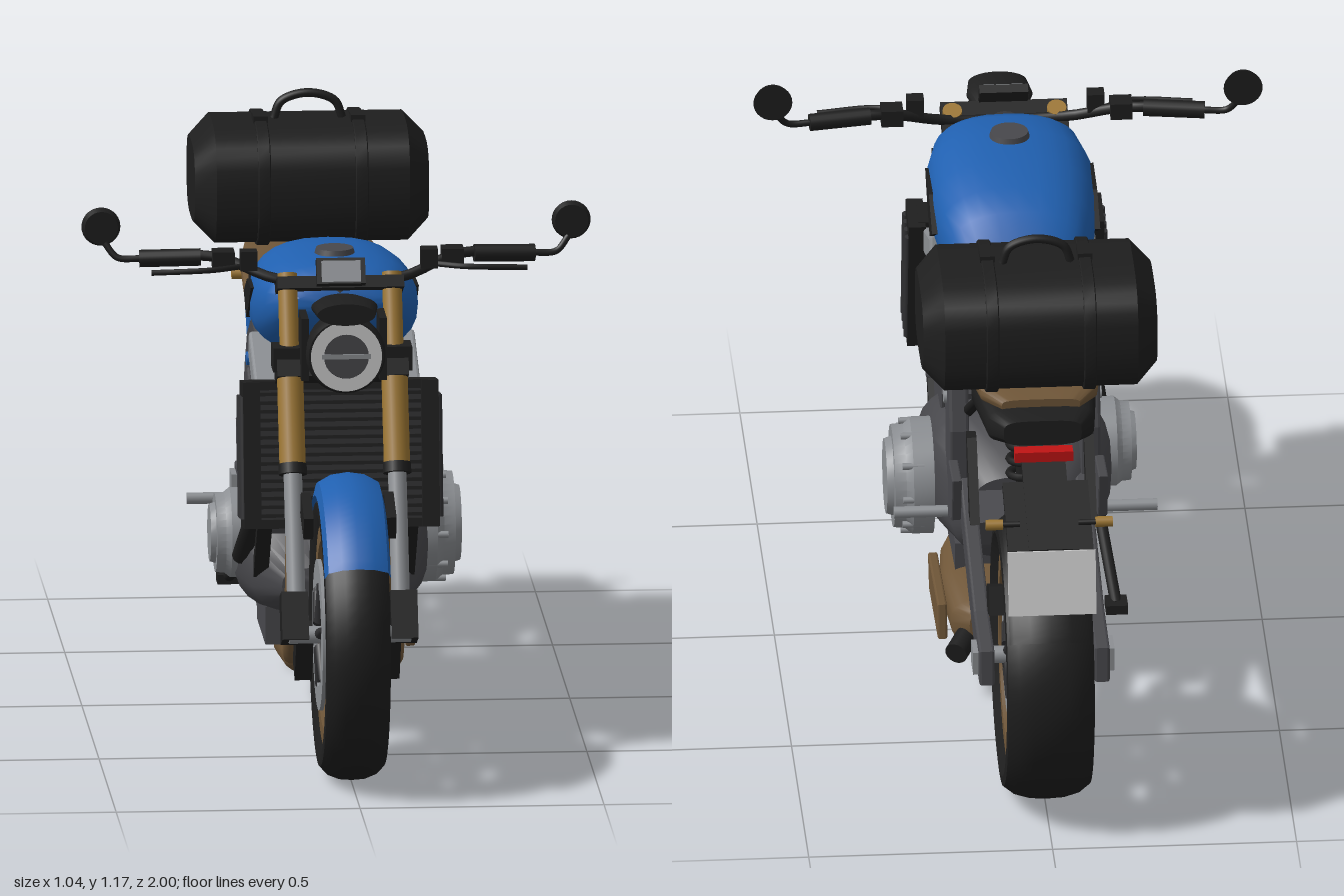
import * as THREE from 'three';
import { toCreasedNormals } from 'three/addons/utils/BufferGeometryUtils.js';

const mat = (name, color) => Object.assign(new THREE.MeshStandardMaterial({ color }), { name });
const black = mat('black', 0x1e1e1e), blue = mat('blue', 0x2060b0), brown = mat('bronze brown', 0x6f5638),
  gold = mat('gold', 0x9c7633), dark = mat('dark grey', 0x48484c), grey = mat('light grey', 0x8c8f93),
  white = mat('pale grey', 0xcfcfcf), red = mat('red', 0xc01414), iron = mat('iron grey', 0x303032);
const V = (p) => new THREE.Vector3(...p);
const SIDES = [-1, 1];

export function createModel() {
  const root = new THREE.Group();
  root.name = 'motorcycle';

  function add(name, geo, m, pos = [0, 0, 0], rot = [0, 0, 0], parent = root) {
    const mesh = new THREE.Mesh(geo, m);
    mesh.name = name;
    mesh.position.set(...pos);
    mesh.rotation.set(...rot);
    parent.add(mesh);
    return mesh;
  }
  const box = (name, size, m, pos, rot, parent) => add(name, new THREE.BoxGeometry(...size), m, pos, rot, parent);
  // straight round bar between two points
  function bar(name, a, b, r, m, r2 = r, parent = root) {
    const p = V(a), q = V(b), d = q.clone().sub(p);
    const mesh = add(name, new THREE.CylinderGeometry(r2, r, d.length(), 16), m, p.clone().add(q).multiplyScalar(0.5).toArray(), [0, 0, 0], parent);
    mesh.quaternion.setFromUnitVectors(new THREE.Vector3(0, 1, 0), d.normalize());
    return mesh;
  }
  const pipe = (name, pts, r, m) =>
    add(name, new THREE.TubeGeometry(new THREE.CatmullRomCurve3(pts.map(V)), 28, r, 10), m);
  // outline in (z, y), given thickness w about x
  function slab(name, pts, x, w, m, bevel = 0) {
    const geo = new THREE.ExtrudeGeometry(new THREE.Shape(pts.map((p) => new THREE.Vector2(...p))),
      { depth: w - 2 * bevel, bevelEnabled: bevel > 0, bevelSize: bevel, bevelThickness: bevel, bevelSegments: 2 });
    geo.translate(0, 0, bevel - w / 2).rotateY(-Math.PI / 2);
    return add(name, geo, m, [x, 0, 0]);
  }
  // profile in (radius, x) revolved about the x axis
  const spin = (pts, seg = 48, start = 0, len = Math.PI * 2) => toCreasedNormals(
    new THREE.LatheGeometry(pts.map((p) => new THREE.Vector2(...p)), seg, start, len).rotateZ(Math.PI / 2), 0.6);
  const ring = (r0, r1, w, seg = 48) => spin([[r0, -w], [r1, -w], [r1, w], [r0, w], [r0, -w]], seg);
  // superellipse cross-sections [z, bottom, top, halfWidth]
  function loft(sections, n = 2.6, seg = 28) {
    const pos = [], idx = [], pw = (v) => Math.sign(v) * Math.abs(v) ** (2 / n);
    sections.forEach(([z, b, t, w]) => {
      for (let j = 0; j < seg; j++) {
        const a = (j / seg) * Math.PI * 2;
        pos.push(w * pw(Math.cos(a)), (b + t) / 2 + ((t - b) / 2) * pw(Math.sin(a)), z);
      }
    });
    const last = sections.length - 1, c = sections.length * seg;
    for (const s of [sections[0], sections[last]]) pos.push(0, (s[1] + s[2]) / 2, s[0]);
    for (let j = 0; j < seg; j++) {
      const k = (j + 1) % seg;
      for (let i = 0; i < last; i++) {
        const a = i * seg, b = a + seg;
        idx.push(a + j, a + k, b + j, a + k, b + k, b + j);
      }
      idx.push(c, k, j, c + 1, last * seg + j, last * seg + k);
    }
    const geo = new THREE.BufferGeometry();
    geo.setAttribute('position', new THREE.Float32BufferAttribute(pos, 3));
    geo.setIndex(idx);
    return toCreasedNormals(geo, 0.7);
  }

  // wheels
  function wheel(name, z, w, discR, discX) {
    const g = new THREE.Group();
    g.name = name;
    g.position.set(0, 0.3, z);
    root.add(g);
    const half = [[0.225, 0.8], [0.25, 0.98], [0.27, 0.96], [0.287, 0.72], [0.296, 0.38], [0.298, 0]];
    const prof = [...half.map(([r, k]) => [r, -k * w]), ...half.slice(0, -1).reverse().map(([r, k]) => [r, k * w]), [0.225, -0.8 * w]];
    add('tyre', spin(prof, 64), black, [0, 0, 0], [0, 0, 0], g);
    add('rim', ring(0.192, 0.23, w * 0.82, 64), brown, [0, 0, 0], [0, 0, 0], g);
    add('hub', ring(0.01, 0.045, 0.055, 24), iron, [0, 0, 0], [0, 0, 0], g);
    for (let i = 0; i < 12; i++) {
      const a = (Math.floor(i / 2) / 6) * Math.PI * 2, o = i % 2 ? 0.09 : -0.09;
      const p = (r, t) => [0, r * Math.sin(t), r * Math.cos(t)];
      bar('spoke', p(0.035, a + o), p(0.2, a + o * 1.7), 0.015, brown, 0.011, g);
    }
    for (const x of discX) {
      add('brakeDisc', ring(discR * 0.68, discR, 0.004), grey, [x, 0, 0], [0, 0, 0], g);
      for (let i = 0; i < 6; i++) {
        const a = (i / 6) * Math.PI * 2 + 0.3;
        bar('discCarrier', [x, 0.03 * Math.sin(a), 0.03 * Math.cos(a)],
          [x, discR * 0.74 * Math.sin(a), discR * 0.74 * Math.cos(a)], 0.012, iron, 0.007, g);
      }
    }
    bar('axle', [-0.125, 0, 0], [0.125, 0, 0], 0.018, grey, 0.018, g);
  }
  wheel('frontWheel', 0.7, 0.068, 0.155, [-0.062, 0.062]);
  wheel('rearWheel', -0.7, 0.092, 0.125, [-0.07, 0.07]);

  // mudguards
  const guard = (w) => [[0.285, -w], [0.312, -w * 0.9], [0.327, -w * 0.5], [0.332, 0], [0.327, w * 0.5], [0.312, w * 0.9], [0.285, w],
    [0.285, w - 0.008], [0.306, w * 0.8], [0.32, 0], [0.306, -w * 0.8], [0.285, 0.008 - w], [0.285, -w]];
  add('frontMudguard', spin(guard(0.068), 30, 0.63, 1.83), blue, [0, 0.3, 0.7]);
  add('rearMudguard', spin(guard(0.085).map(([r, x]) => [Math.max(r - 0.005, 0.3), x]), 20, 1.66, 0.95), black, [0, 0.3, -0.7]);

  // front fork, calipers and steering
  const forkZ = (y) => 0.555 - (y - 0.617) * 0.42;
  for (const s of SIDES) {
    const x = 0.107 * s, at = (y) => [x, y, forkZ(y)];
    bar('forkLower', at(0.29), at(0.64), 0.019, grey);
    bar('forkSleeve', at(0.62), at(0.81), 0.027, gold);
    bar('forkTop', at(0.8), at(0.99), 0.02, gold);
    bar('forkSeal', at(0.605), at(0.625), 0.029, black);
    box('forkFoot', [0.055, 0.1, 0.06], black, [0.112 * s, 0.33, 0.675], [-0.4, 0, 0]);
    box('frontCaliper', [0.035, 0.11, 0.06], black, [0.09 * s, 0.25, 0.62], [0.5, 0, 0]);
    box('mudguardStay', [0.02, 0.05, 0.1], black, [0.085 * s, 0.54, 0.66], [0.35, 0, 0]);
    box('lampBracket', [0.015, 0.13, 0.09], black, [0.08 * s, 0.86, 0.49]);
    box('forkGuard', [0.055, 0.05, 0.06], black, [0.115 * s, 0.83, 0.465]);
  }
  box('lowerYoke', [0.27, 0.035, 0.08], black, [0, 0.8, 0.465], [-0.4, 0, 0]);
  box('upperYoke', [0.26, 0.025, 0.08], black, [0, 0.965, 0.4], [-0.4, 0, 0]);
  bar('steeringStem', [0, 0.78, 0.44], [0, 0.97, 0.37], 0.035, iron);

  // headlamp and display
  add('headlampShell', loft([[0.48, 0.82, 0.9, 0.04], [0.51, 0.785, 0.935, 0.075], [0.58, 0.778, 0.942, 0.082], [0.6, 0.785, 0.935, 0.077]], 2), black);
  add('headlampRing', new THREE.RingGeometry(0.046, 0.073, 40), white, [0, 0.86, 0.603]);
  add('headlampLens', new THREE.CircleGeometry(0.046, 32), dark, [0, 0.86, 0.602]);
  box('headlampBar', [0.1, 0.01, 0.004], grey, [0, 0.86, 0.603]);
  add('headlampVisor', loft([[0.48, 0.93, 0.965, 0.05], [0.54, 0.925, 0.975, 0.068], [0.605, 0.925, 0.97, 0.06]], 2), black);
  box('displayHousing', [0.1, 0.055, 0.02], black, [0, 1.0, 0.435], [-0.5, 0, 0]);
  box('displayPlate', [0.08, 0.045, 0.006], grey, [0, 1.004, 0.448], [-0.5, 0, 0]);

  // handlebar, controls and mirrors
  pipe('handlebar', [[-0.4, 1.01, 0.325], [-0.25, 1.015, 0.34], [-0.12, 0.975, 0.385], [0.12, 0.975, 0.385], [0.25, 1.015, 0.34], [0.4, 1.01, 0.325]], 0.011, black);
  for (const s of SIDES) {
    bar('grip', [0.28 * s, 1.014, 0.337], [0.405 * s, 1.01, 0.325], 0.018, black);
    box('switchBlock', [0.045, 0.035, 0.045], black, [0.235 * s, 1.012, 0.345]);
    box('reservoir', [0.035, 0.04, 0.035], black, [0.185 * s, 1.015, 0.375]);
    pipe('lever', [[0.2 * s, 1.0, 0.37], [0.26 * s, 1.0, 0.4], [0.385 * s, 0.995, 0.395]], 0.006, black);
    pipe('mirrorStem', [[0.4 * s, 1.01, 0.325], [0.45 * s, 1.012, 0.32], [0.475 * s, 1.04, 0.31]], 0.007, black);
    add('mirror', new THREE.CylinderGeometry(0.04, 0.034, 0.016, 28), black, [0.482 * s, 1.072, 0.305], [-Math.PI / 2, 0, 0]);
  }

  // fuel tank
  add('fuelTank', loft([[-0.095, 0.79, 0.87, 0.1], [-0.07, 0.775, 0.925, 0.125], [-0.02, 0.765, 0.965, 0.145], [0.05, 0.76, 0.988, 0.16],
    [0.15, 0.765, 1.0, 0.17], [0.27, 0.79, 1.003, 0.17], [0.35, 0.83, 0.998, 0.15], [0.395, 0.87, 0.98, 0.125], [0.415, 0.9, 0.95, 0.1]], 2.5), blue);
  add('tankCap', new THREE.CylinderGeometry(0.038, 0.042, 0.014, 32), dark, [0, 1.005, 0.255]);
  for (const s of SIDES) {
    slab('tankInlay', [[0.26, 0.93], [0.15, 0.925], [0.06, 0.88], [0.13, 0.84], [0.2, 0.88]], 0.155 * s, 0.035, black);
    slab('kneeInlay', [[0.07, 0.86], [-0.05, 0.9], [-0.05, 0.84], [0, 0.82]], 0.137 * s, 0.036, black);
    slab('sidePanel', [[0.03, 0.82], [-0.26, 0.825], [-0.31, 0.775], [-0.25, 0.72], [-0.21, 0.735], [-0.17, 0.77], [0.02, 0.765]], 0.132 * s, 0.025, blue, 0.004);
    slab('sidePanelInset', [[-0.06, 0.81], [-0.2, 0.808], [-0.24, 0.775], [-0.18, 0.785]], 0.146 * s, 0.006, black);
  }

  // seat and tail
  add('seat', loft([[-0.66, 0.835, 0.862, 0.08], [-0.6, 0.825, 0.868, 0.12], [-0.4, 0.805, 0.862, 0.148], [-0.25, 0.79, 0.842, 0.152],
    [-0.13, 0.785, 0.842, 0.142], [-0.07, 0.785, 0.86, 0.12]], 4), brown);
  add('tail', loft([[-0.715, 0.785, 0.84, 0.08], [-0.66, 0.765, 0.845, 0.11], [-0.45, 0.735, 0.825, 0.128], [-0.25, 0.715, 0.8, 0.12], [-0.05, 0.76, 0.81, 0.1]], 4), black);
  box('tailLight', [0.12, 0.022, 0.03], red, [0, 0.775, -0.735]);
  box('plateArm', [0.09, 0.02, 0.3], black, [0, 0.715, -0.81], [-0.4, 0, 0]);
  box('plateHolder', [0.175, 0.015, 0.2], black, [0, 0.69, -0.87], [-0.4, 0, 0]);
  box('plateBack', [0.175, 0.13, 0.006], black, [0, 0.605, -0.976], [0.22, 0, 0]);
  box('plate', [0.18, 0.135, 0.006], white, [0, 0.605, -0.983], [0.22, 0, 0]);
  for (const s of SIDES) {
    bar('indicatorStem', [0.06 * s, 0.7, -0.9], [0.1 * s, 0.7, -0.9], 0.006, black);
    bar('indicator', [0.095 * s, 0.7, -0.9], [0.13 * s, 0.7, -0.9], 0.011, gold);
  }

  // luggage roll along x
  const roll = (x0, x1, cap, d) => loft([[x0, 0.865 + cap - d, 1.11 - cap + d, 0.165 - cap + d], [x0 + cap, 0.865 - d, 1.11 + d, 0.165 + d],
    [x1 - cap, 0.865 - d, 1.11 + d, 0.165 + d], [x1, 0.865 + cap - d, 1.11 - cap + d, 0.165 - cap + d]], 3.2).rotateY(Math.PI / 2);
  add('luggageRoll', roll(-0.24, 0.24, 0.042, 0), black, [0, 0, -0.523]);
  for (const s of SIDES) {
    add('luggageStrap', roll(0.1 * s - 0.013, 0.1 * s + 0.013, 0.002, 0.006), black, [0, 0, -0.523]);
    box('strapBuckle', [0.03, 0.014, 0.05], black, [0.1 * s, 1.117, -0.5]);
  }
  pipe('luggageHandle', [[-0.07, 1.11, -0.525], [-0.055, 1.145, -0.525], [0, 1.162, -0.525], [0.055, 1.145, -0.525], [0.07, 1.11, -0.525]], 0.009, black);

  // radiator
  const rad = new THREE.Group();
  rad.name = 'radiator';
  rad.position.set(0, 0.615, 0.41);
  rad.rotation.x = -0.16;
  root.add(rad);
  box('radiatorCore', [0.36, 0.27, 0.05], iron, [0, 0, 0], [0, 0, 0], rad);
  for (let i = 0; i < 15; i++) box('radiatorFin', [0.35, 0.007, 0.012], black, [0, -0.125 + i * 0.0178, 0.027], [0, 0, 0], rad);
  for (const s of SIDES) {
    box('radiatorTank', [0.035, 0.3, 0.1], black, [0.183 * s, 0, 0], [0, 0, 0], rad);
    for (let i = 0; i < 4; i++) bar('radiatorRib', [0.2 * s, -0.13, -0.04 + i * 0.027], [0.2 * s, 0.12, -0.04 + i * 0.027], 0.008, iron, 0.008, rad);
    box('radiatorEdge', [0.36, 0.018, 0.07], black, [0, 0.142 * s, 0], [0, 0, 0], rad);
  }

  // engine
  slab('cylinderBlock', [[0.34, 0.73], [0.18, 0.79], [0.05, 0.52], [0.08, 0.44], [0.24, 0.42]], 0, 0.31, dark, 0.008);
  slab('cylinderHead', [[0.35, 0.74], [0.17, 0.81], [0.155, 0.77], [0.335, 0.7]], 0, 0.34, grey, 0.006);
  for (const s of SIDES) slab('blockCover', [[0.31, 0.69], [0.18, 0.74], [0.09, 0.54], [0.21, 0.48]], 0.165 * s, 0.02, dark, 0.005);
  add('crankcase', loft([[-0.22, 0.3, 0.46, 0.11], [-0.17, 0.25, 0.5, 0.15], [-0.02, 0.22, 0.52, 0.19], [0.14, 0.22, 0.5, 0.2],
    [0.23, 0.24, 0.42, 0.17], [0.29, 0.27, 0.35, 0.11]], 3), dark);
  box('sump', [0.27, 0.08, 0.24], dark, [0, 0.2, 0.04]);
  const cover = (r, d) => spin([[0, 0], [r, 0], [r, d * 0.45], [r * 0.9, d * 0.6], [r * 0.88, d * 0.85], [r * 0.68, d * 0.85], [r * 0.64, d], [0, d]], 36);
  add('clutchCover', cover(0.12, 0.095), grey, [0.18, 0.37, -0.02], [0, Math.PI, 0]);
  add('generatorCover', cover(0.092, 0.075), grey, [-0.17, 0.38, 0.085]);
  for (let i = 0; i < 10; i++) {
    const a = (i / 10) * Math.PI * 2;
    bar('coverBolt', [0.2, 0.37 + 0.113 * Math.sin(a), -0.02 + 0.113 * Math.cos(a)], [0.245, 0.37 + 0.113 * Math.sin(a), -0.02 + 0.113 * Math.cos(a)], 0.007, grey);
  }

  // frame arch, swingarm and rear suspension
  for (const s of SIDES) {
    slab('frameArch', [[0.16, 0.8], [0.03, 0.815], [-0.09, 0.76], [-0.17, 0.67], [-0.2, 0.56], [-0.19, 0.44], [-0.1, 0.41], [-0.08, 0.52],
      [-0.07, 0.6], [-0.02, 0.665], [0.06, 0.69], [0.1, 0.7]], 0.135 * s, 0.04, dark, 0.006);
    bar('frameBolt', [0.14 * s, 0.6, -0.12], [0.162 * s, 0.6, -0.12], 0.014, grey);
    bar('frameBoltUpper', [0.14 * s, 0.72, -0.02], [0.162 * s, 0.72, -0.02], 0.014, blue);
    slab('frameDownTube', [[0.4, 0.5], [0.37, 0.5], [0.21, 0.33], [0.24, 0.32]], 0.15 * s, 0.03, black);
    slab('swingarm', [[-0.15, 0.46], [-0.3, 0.415], [-0.6, 0.345], [-0.76, 0.335], [-0.765, 0.27], [-0.66, 0.275], [-0.42, 0.32], [-0.2, 0.38]], 0.118 * s, 0.032, dark, 0.005);
    box('axleBlock', [0.02, 0.05, 0.06], grey, [0.135 * s, 0.303, -0.715]);
    bar('subframeStrut', [0.1 * s, 0.73, -0.38], [0.115 * s, 0.59, -0.17], 0.012, black);
    slab('pegBracket', [[-0.24, 0.51], [-0.35, 0.52], [-0.32, 0.42], [-0.22, 0.38]], 0.15 * s, 0.02, dark, 0.003);
    slab('rearPegBracket', [[-0.32, 0.62], [-0.35, 0.62], [-0.45, 0.47], [-0.4, 0.475]], 0.12 * s, 0.02, black);
    bar('footPeg', [0.16 * s, 0.385, -0.215], [0.27 * s, 0.385, -0.215], 0.012, grey);
    bar('chainRun', [-0.085, s > 0 ? 0.38 : 0.29, -0.2], [-0.085, s > 0 ? 0.36 : 0.24, -0.7], 0.009, black);
  }
  box('swingarmBridge', [0.22, 0.06, 0.1], dark, [0, 0.4, -0.28], [-0.25, 0, 0]);
  bar('shockBody', [0, 0.4, -0.24], [0, 0.75, -0.24], 0.022, black);
  for (let i = 0; i < 7; i++) add('shockCoil', new THREE.TorusGeometry(0.036, 0.008, 6, 18), black, [0, 0.48 + i * 0.033, -0.24], [Math.PI / 2 + 0.15, 0, 0]);
  add('rearSprocket', ring(0.03, 0.075, 0.005, 28), iron, [-0.09, 0.3, -0.7]);
  box('rearCaliper', [0.03, 0.06, 0.08], black, [0.09, 0.38, -0.61], [0.4, 0, 0]);
  bar('sideStand', [-0.16, 0.3, -0.02], [-0.18, 0.2, -0.3], 0.012, black);
  box('sideStandFoot', [0.045, 0.02, 0.05], black, [-0.18, 0.2, -0.3]);
  pipe('coolantHose', [[-0.16, 0.5, 0.36], [-0.175, 0.42, 0.26], [-0.185, 0.35, 0.17]], 0.02, black);

  // exhaust
  for (const x of [-0.09, -0.03, 0.03, 0.09])
    pipe('headerPipe', [[x, 0.5, 0.27], [x, 0.48, 0.36], [x, 0.38, 0.36], [x, 0.25, 0.335], [x, 0.17, 0.28], [x * 0.8, 0.145, 0.16]], 0.019, brown);
  add('silencer', loft([[-0.29, 0.12, 0.195, 0.09], [-0.25, 0.09, 0.205, 0.125], [-0.05, 0.07, 0.19, 0.135], [0.08, 0.075, 0.18, 0.125], [0.19, 0.11, 0.175, 0.085]], 3), brown, [0.03, 0, 0]);
  slab('silencerShield', [[0, 0.175], [-0.27, 0.195], [-0.28, 0.13], [-0.03, 0.115]], 0.175, 0.02, brown, 0.004);
  bar('silencerOutlet', [0.12, 0.125, -0.26], [0.15, 0.11, -0.32], 0.024, black);
  return root;
}
